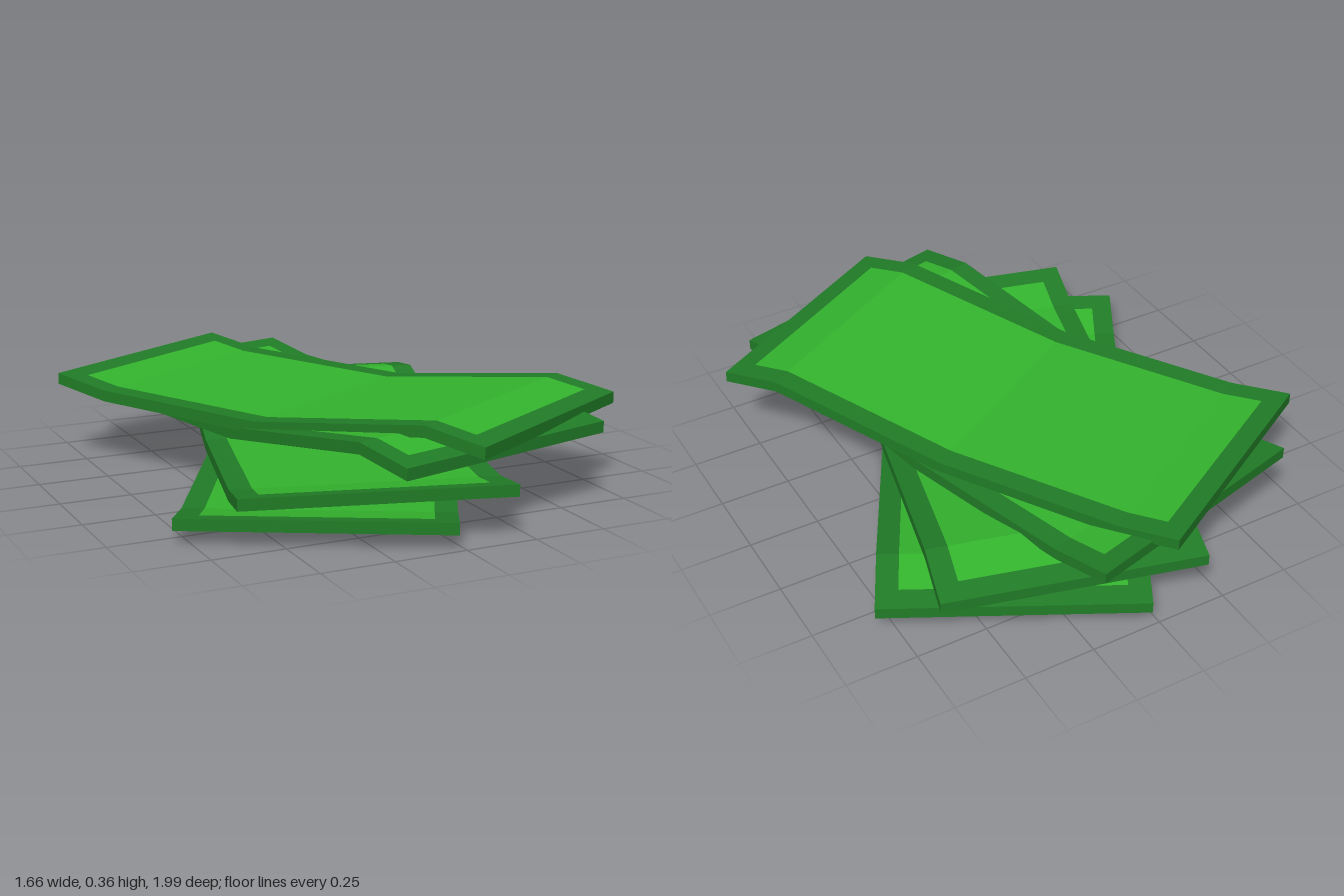
import * as THREE from 'three';

const THICK = 0.04;
const HALF_W = 0.445, HALF_L = 0.89, BORDER = 0.075;

// Underside height of a note along its length: [z, y]
const WAVE = [[-HALF_L, 0.05], [-0.67, 0.087], [0, 0], [0.67, 0.015], [HALF_L, 0.05]];

function waveHeight(z) {
  for (let i = 1; i < WAVE.length; i++) {
    const [z0, y0] = WAVE[i - 1], [z1, y1] = WAVE[i];
    if (z <= z1) return y0 + (y1 - y0) * (z - z0) / (z1 - z0);
  }
  return WAVE[WAVE.length - 1][1];
}

const COLS = [-HALF_W, -HALF_W + BORDER, HALF_W - BORDER, HALF_W];
const ROWS = [-HALF_L, -HALF_L + BORDER, -0.67, 0, 0.67, HALF_L - BORDER, HALF_L];

// Flat-shaded geometry from four-cornered faces
function fromQuads(quads) {
  const points = quads.flatMap(([a, b, c, d]) => [a, b, c, a, c, d]);
  const geometry = new THREE.BufferGeometry().setFromPoints(points);
  geometry.computeVertexNormals();
  return geometry;
}

// Splits the wavy sheet into its border and its centre panel
function noteGeometries() {
  const low = (x, z) => new THREE.Vector3(x, waveHeight(z), z);
  const high = (x, z) => new THREE.Vector3(x, waveHeight(z) + THICK, z);
  const border = [], panel = [];
  const lastRow = ROWS.length - 2;
  for (let r = 0; r <= lastRow; r++) {
    const z0 = ROWS[r], z1 = ROWS[r + 1];
    for (let c = 0; c < 3; c++) {
      const x0 = COLS[c], x1 = COLS[c + 1];
      const target = c === 1 && r > 0 && r < lastRow ? panel : border;
      target.push([high(x0, z0), high(x0, z1), high(x1, z1), high(x1, z0)]);
      target.push([low(x0, z0), low(x1, z0), low(x1, z1), low(x0, z1)]);
    }
    // long side walls
    const w = HALF_W;
    border.push([low(w, z1), low(w, z0), high(w, z0), high(w, z1)]);
    border.push([low(-w, z0), low(-w, z1), high(-w, z1), high(-w, z0)]);
  }
  // end walls
  const w = HALF_W, l = HALF_L;
  border.push([low(-w, l), low(w, l), high(w, l), high(-w, l)]);
  border.push([low(w, -l), low(-w, -l), high(-w, -l), high(w, -l)]);
  return { border: fromQuads(border), panel: fromQuads(panel) };
}

export function createModel() {
  const group = new THREE.Group();
  group.name = 'banknotePile';
  const { border, panel } = noteGeometries();
  const borderMaterial = new THREE.MeshStandardMaterial({ color: 0x217d27 });
  const panelMaterial = new THREE.MeshStandardMaterial({ color: 0x34b52e });

  // Fanned notes from the bottom up: [height, turn in degrees]
  const notes = [[0, -28], [0.09, -15], [0.19, 195], [0.23, 210]];
  notes.forEach(([y, turn], i) => {
    const note = new THREE.Group();
    note.name = `banknote${i + 1}`;
    const edge = new THREE.Mesh(border, borderMaterial);
    edge.name = 'noteBorder';
    const face = new THREE.Mesh(panel, panelMaterial);
    face.name = 'notePanel';
    note.add(edge, face);
    note.position.y = y;
    note.rotation.y = THREE.MathUtils.degToRad(turn);
    group.add(note);
  });
  return group;
}
